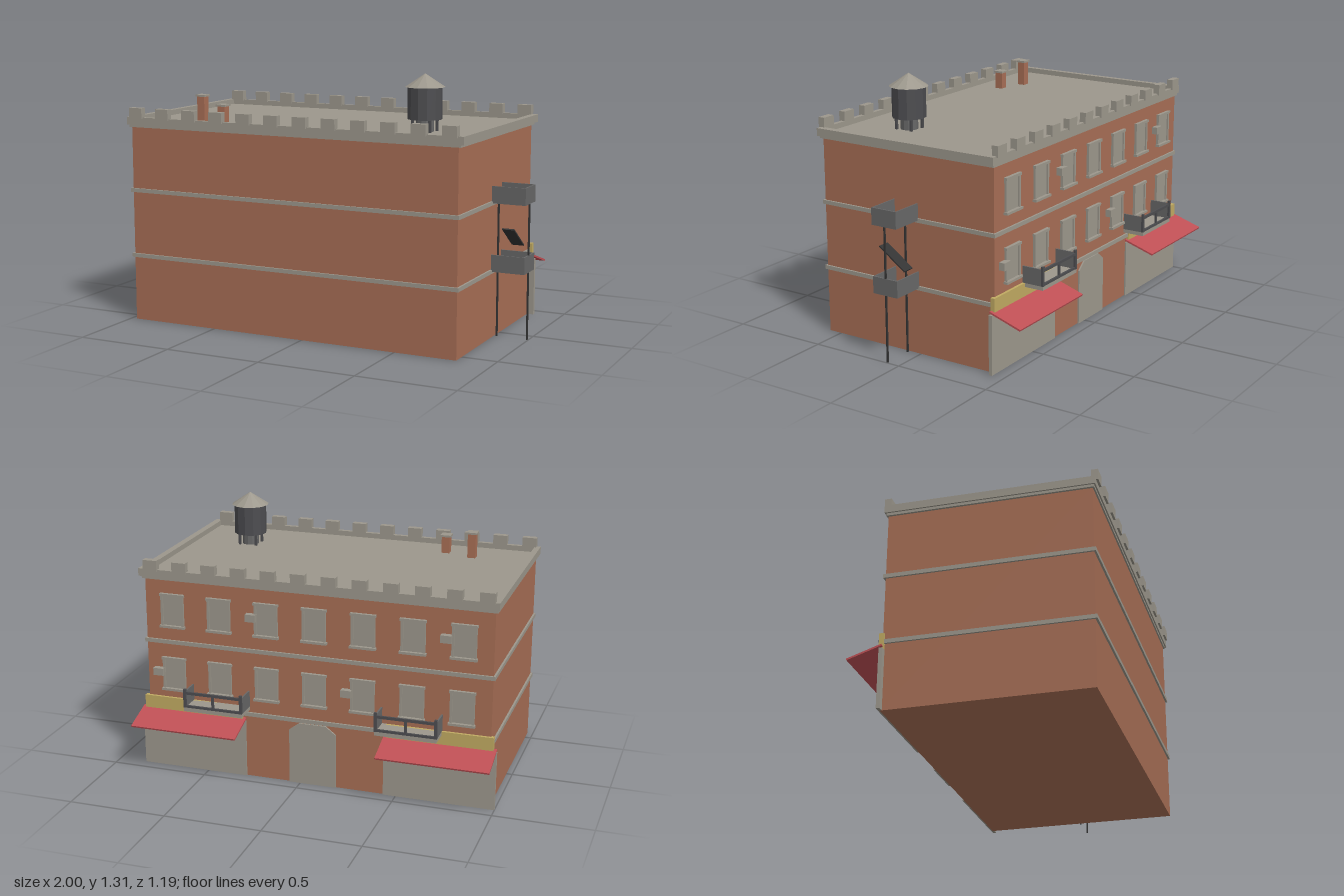
import * as THREE from 'three';

const mat = (name, color) => {
  const m = new THREE.MeshStandardMaterial({ color, flatShading: true });
  m.name = name;
  return m;
};

export function createModel() {
  const brick = mat('brick', 0xa76e55);
  const stone = mat('stone', 0x9c978c);
  const metal = mat('metal', 0x676767);
  const dark = mat('darkMetal', 0x4d4d50);
  const iron = mat('blackIron', 0x333333);
  const red = mat('awningRed', 0xbf5055);
  const yellow = mat('signYellow', 0xc0aa62);

  const model = new THREE.Group();
  model.name = 'building';
  const add = (parent, name, geo, m) => {
    const mesh = new THREE.Mesh(geo, m);
    mesh.name = name;
    parent.add(mesh);
    return mesh;
  };
  // box given by its extents
  const box = (parent, name, m, x0, x1, y0, y1, z0, z1) => {
    const b = add(parent, name, new THREE.BoxGeometry(x1 - x0, y1 - y0, z1 - z0), m);
    b.position.set((x0 + x1) / 2, (y0 + y1) / 2, (z0 + z1) / 2);
    return b;
  };
  const group = (name, x = 0, y = 0, z = 0) => {
    const g = new THREE.Group();
    g.name = name;
    g.position.set(x, y, z);
    model.add(g);
    return g;
  };

  // walls, string courses and roof
  const X0 = -0.97, X1 = 0.82, Z0 = -0.43, Z1 = 0.57, CX = -0.075;
  box(model, 'walls', brick, X0, X1, 0, 1.01, Z0, Z1);
  for (const y of [0.34, 0.68]) {
    box(model, 'stringCourse', stone, X0 - 0.01, X1 + 0.01, y - 0.01, y + 0.01, Z0 - 0.01, Z1 + 0.01);
  }
  box(model, 'lowerCornice', stone, X0 - 0.012, X1 + 0.015, 1.005, 1.018, Z0 - 0.008, Z1 + 0.008);
  box(model, 'roof', stone, X0, X1, 1.01, 1.03, Z0, Z1);

  // raised parapet around the roof
  const parapet = group('parapet');
  box(parapet, 'parapetFront', stone, -0.99, 0.85, 1.018, 1.057, 0.562, 0.585);
  box(parapet, 'parapetBack', stone, -0.99, 0.85, 1.018, 1.057, -0.445, -0.425);
  box(parapet, 'parapetRight', stone, -0.99, -0.96, 1.018, 1.057, -0.425, 0.562);
  box(parapet, 'parapetLeft', stone, 0.815, 0.85, 1.018, 1.057, -0.425, 0.562);
  for (let i = 0; i < 12; i++) {
    const x = -0.932 + i * 0.156;
    for (const z of [0.579, -0.436]) {
      box(parapet, 'merlon', stone, x - 0.037, x + 0.037, 1.05, 1.105, z - 0.017, z + 0.017);
    }
  }

  // seven columns of windows on two upper floors
  const makeWindow = (x, y) => {
    const w = group('window', x, y, Z0);
    box(w, 'pane', stone, -0.055, 0.055, 0, 0.17, -0.005, 0);
    for (const s of [-1, 1]) {
      box(w, 'jamb', stone, s * 0.055 - 0.006, s * 0.055 + 0.006, 0, 0.17, -0.013, 0);
    }
    box(w, 'lintel', stone, -0.065, 0.065, 0.163, 0.176, -0.017, 0);
    box(w, 'sill', stone, -0.067, 0.067, -0.002, 0.01, -0.022, 0);
  };
  for (let c = -3; c <= 3; c++) {
    makeWindow(CX + c * 0.25, 0.76);
    makeWindow(CX + c * 0.25, 0.422);
  }
  // wall mounted cooling units
  for (const [x, y] of [[0.25, 0.858], [-0.74, 0.858], [0.755, 0.52], [-0.245, 0.52]]) {
    box(model, 'coolingUnit', stone, x - 0.027, x + 0.027, y - 0.019, y + 0.019, -0.461, Z0);
  }

  // shop fronts with sign and sloping awning
  for (const [x0, x1] of [[-1, -0.435], [0.29, 0.855]]) {
    box(model, 'shopFront', stone, x0, x1, 0, 0.3, -0.438, -0.42);
    box(model, 'signBoard', yellow, x0 + 0.015, x1 - 0.015, 0.3, 0.38, -0.444, -0.42);
    const awning = add(model, 'awning', new THREE.BoxGeometry(x1 - x0, 0.009, 0.178), red);
    awning.position.set((x0 + x1) / 2, 0.287, -0.509);
    awning.rotation.x = -0.313;
  }

  // entrance with a chamfered head
  const door = new THREE.Shape();
  [[-0.122, 0], [0.122, 0], [0.122, 0.285], [0.07, 0.325], [-0.07, 0.325], [-0.122, 0.285]]
    .forEach(([x, y], i) => (i ? door.lineTo(x, y) : door.moveTo(x, y)));
  add(model, 'entrance', new THREE.ExtrudeGeometry(door, { depth: 0.018, bevelEnabled: false }), stone)
    .position.set(-0.065, 0, -0.438);

  // balconies: solid side panels, open railing in front
  for (const x of [-0.573, 0.425]) {
    const b = group('balcony', x, 0.36, 0);
    box(b, 'slab', stone, -0.155, 0.155, 0, 0.02, -0.545, Z0);
    for (const s of [-1, 1]) {
      box(b, 'sidePanel', metal, s * 0.152 - 0.004, s * 0.152 + 0.004, 0.02, 0.104, -0.545, Z0);
      box(b, 'cornerPost', dark, s * 0.15 - 0.007, s * 0.15 + 0.007, 0.02, 0.118, -0.547, -0.535);
    }
    box(b, 'middlePost', dark, -0.006, 0.006, 0.02, 0.1, -0.545, -0.535);
    box(b, 'topRail', dark, -0.15, 0.15, 0.09, 0.104, -0.545, -0.535);
    box(b, 'bottomRail', dark, -0.15, 0.15, 0.02, 0.032, -0.545, -0.535);
  }

  // fire escape on the left wall
  const escape = group('fireEscape');
  for (const y of [0.34, 0.68]) {
    box(escape, 'platformFloor', metal, 0.822, 0.995, y, y + 0.012, 0, 0.143);
    box(escape, 'outerPanel', metal, 0.989, 0.997, y, y + 0.085, 0, 0.143);
    box(escape, 'frontPanel', metal, 0.825, 0.995, y, y + 0.085, 0.137, 0.143);
    box(escape, 'backPanel', metal, 0.825, 0.995, y, y + 0.085, 0, 0.006);
  }
  for (const x of [0.834, 0.992]) {
    box(escape, 'post', iron, x - 0.004, x + 0.004, 0, 0.68, 0.067, 0.075);
  }
  const stair = add(escape, 'stair', new THREE.BoxGeometry(0.062, 0.007, 0.178), iron);
  stair.position.set(0.911, 0.508, 0.071);
  stair.rotation.x = -0.61;

  // water tower
  const tower = group('waterTower', 0.522, 0, 0.27);
  const drum = (name, m, rTop, r, y0, y1) => {
    add(tower, name, new THREE.CylinderGeometry(rTop, r, y1 - y0, 12), m).position.y = (y0 + y1) / 2;
  };
  drum('standPipe', metal, 0.044, 0.044, 1.03, 1.09);
  drum('tank', dark, 0.085, 0.085, 1.09, 1.245);
  drum('tankRoof', stone, 0, 0.098, 1.245, 1.31);
  for (const sx of [-1, 1]) {
    for (const sz of [-1, 1]) {
      const x = sx * 0.045, z = sz * 0.045;
      box(tower, 'leg', dark, x - 0.006, x + 0.006, 1.03, 1.092, z - 0.006, z + 0.006);
    }
  }

  // chimneys with stone caps
  for (const [x, z, top] of [[-0.67, 0.37, 1.166], [-0.52, 0.42, 1.127]]) {
    const c = group('chimney', x, 0, z);
    box(c, 'stack', brick, -0.021, 0.021, 1.03, top - 0.01, -0.021, 0.021);
    box(c, 'cap', stone, -0.027, 0.027, top - 0.01, top, -0.027, 0.027);
  }
  return model;
}
